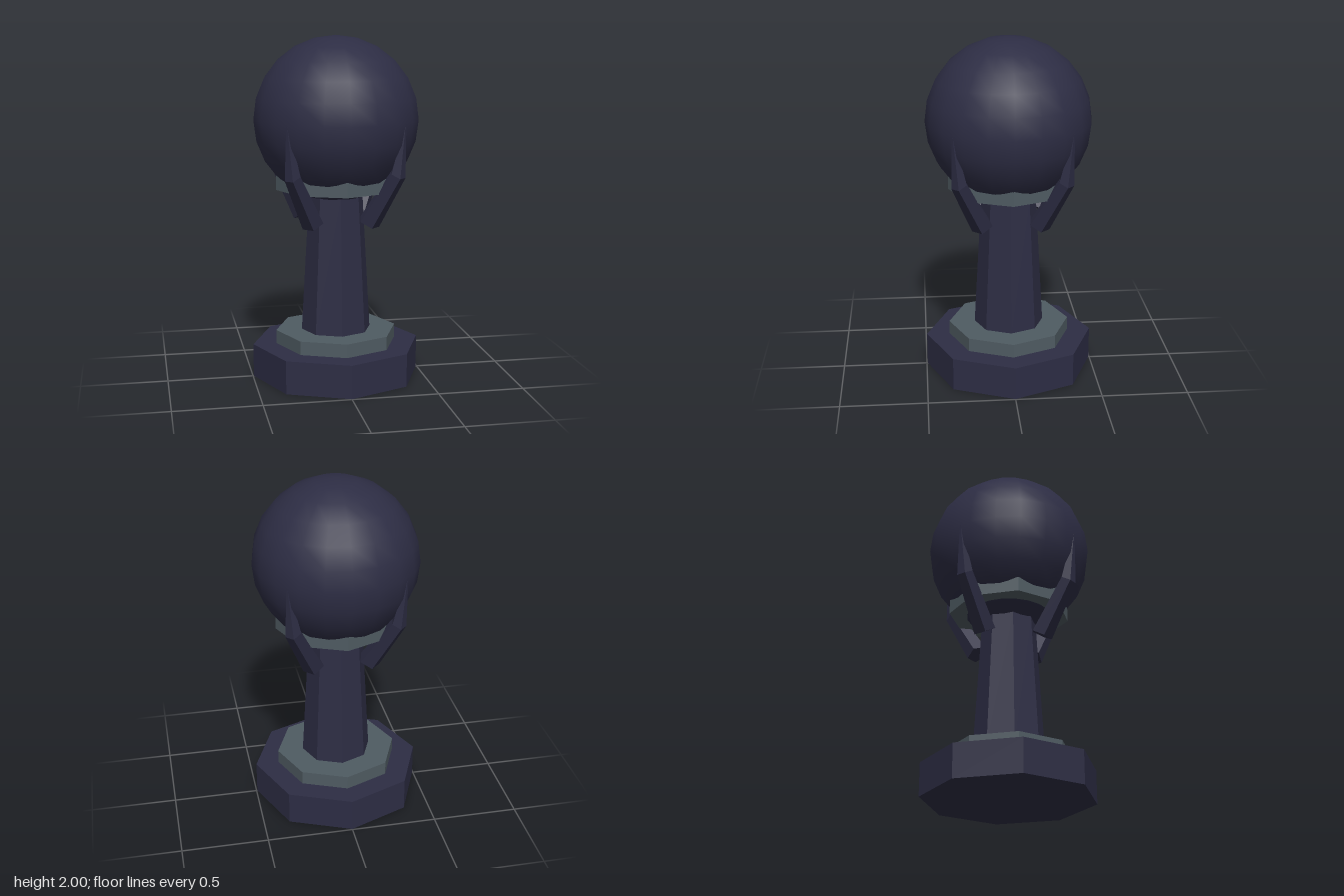
import * as THREE from 'three';

// Split faces so every facet keeps its own flat normal
function faceted(geometry) {
  const g = geometry.toNonIndexed();
  g.computeVertexNormals();
  return g;
}

// Five-sided claw in the y-z plane (z points outwards), bent at the knee
function clawGeometry() {
  const rings = [ // top to bottom: distance out, height, radius, tilt
    { z: 0.467, y: 1.52, r: 0.006, tilt: 0.15 },
    { z: 0.421, y: 1.23, r: 0.048, tilt: 0.5 },
    { z: 0.231, y: 0.937, r: 0.065, tilt: 0.52 },
  ];
  const g = new THREE.CylinderGeometry(1, 1, 2, 5, 2, false, Math.PI);
  const p = g.attributes.position;
  for (let i = 0; i < p.count; i++) {
    const ring = rings[Math.round(1 - p.getY(i))];
    const out = p.getZ(i) * ring.r;
    p.setXYZ(i, p.getX(i) * ring.r,
      ring.y - out * Math.sin(ring.tilt),
      ring.z + out * Math.cos(ring.tilt));
  }
  return faceted(g);
}

export function createModel() {
  const model = new THREE.Group();
  model.name = 'orbPedestal';
  const darkStone = new THREE.MeshStandardMaterial({ color: 0x2d2d44 });
  darkStone.name = 'dark stone';
  const greyMetal = new THREE.MeshStandardMaterial({ color: 0x4f5b62 });
  greyMetal.name = 'grey metal';

  const add = (name, geometry, material) => {
    const mesh = new THREE.Mesh(geometry, material);
    mesh.name = name;
    model.add(mesh);
    return mesh;
  };

  // Octagonal blocks stacked from the floor: bottom, top, lower and upper radius
  const octagon = (name, y0, y1, r0, r1, material) => {
    const g = new THREE.CylinderGeometry(r1, r0, y1 - y0, 8);
    add(name, faceted(g), material).position.y = (y0 + y1) / 2;
  };
  octagon('base', 0, 0.195, 0.495, 0.495, darkStone);
  octagon('plinth', 0.195, 0.275, 0.358, 0.358, greyMetal);
  octagon('column', 0.275, 1.075, 0.205, 0.159, darkStone);
  octagon('collar', 1.115, 1.2, 0.352, 0.352, greyMetal);

  // Orb resting in the collar
  add('orb', new THREE.SphereGeometry(0.478, 20, 12), darkStone).position.y = 1.522;

  // Four claws on the diagonals
  const claw = clawGeometry();
  for (let i = 0; i < 4; i++) {
    add('claw' + (i + 1), claw, darkStone).rotation.y = Math.PI / 4 + i * Math.PI / 2;
  }
  return model;
}
